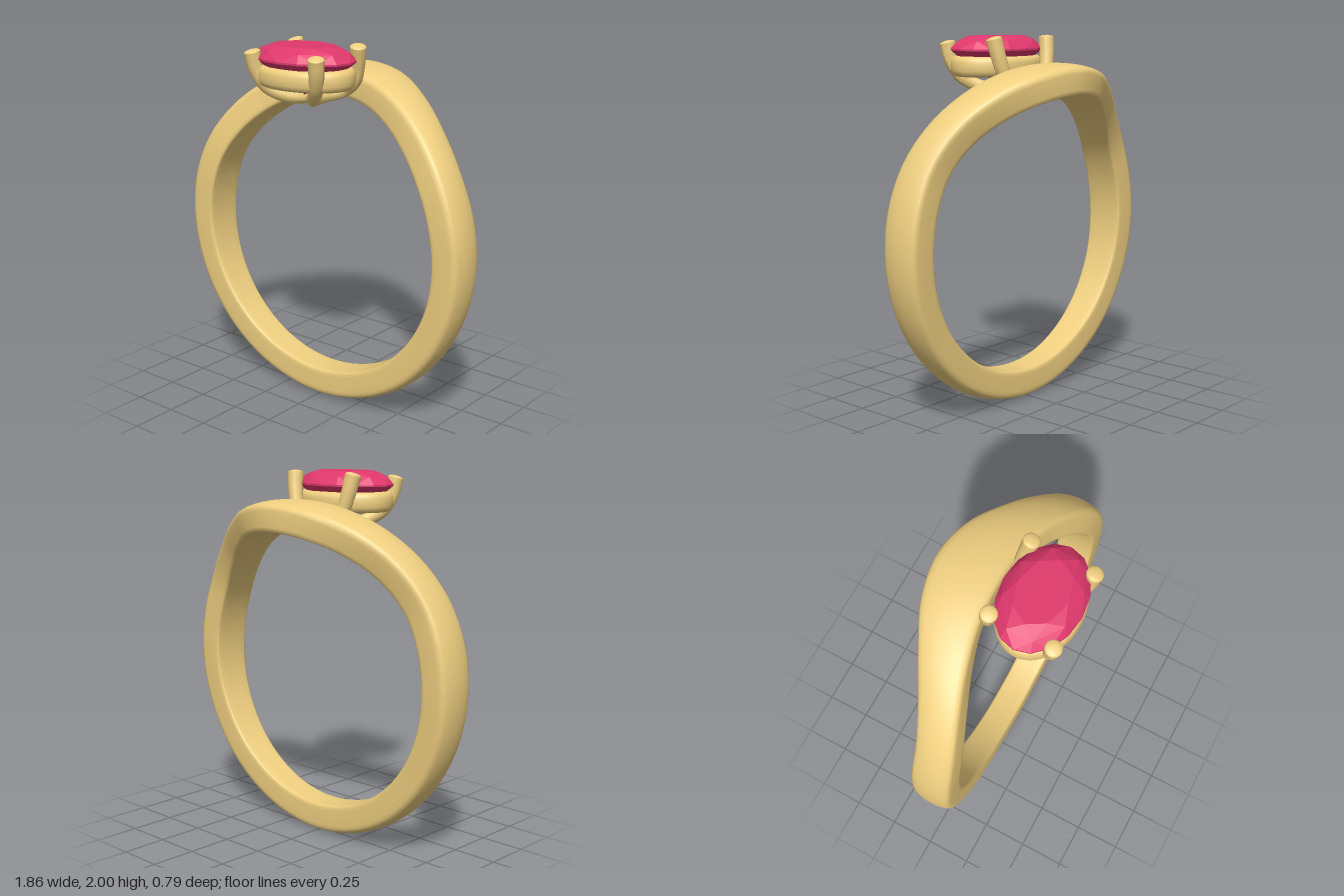
import * as THREE from 'three';
import { ConvexGeometry } from 'three/addons/geometries/ConvexGeometry.js';

const gold = new THREE.MeshStandardMaterial({ color: 0xefcf80 });
const ruby = new THREE.MeshStandardMaterial({ color: 0xe0386c });

// Closed smooth surface: point(i / nu, j) swept around both ways
function loft(nu, nv, point) {
  const pos = [], index = [];
  for (let i = 0; i < nu; i++)
    for (let j = 0; j < nv; j++) {
      pos.push(...point(i / nu, j));
      const i2 = (i + 1) % nu, j2 = (j + 1) % nv;
      const a = i * nv + j, b = i2 * nv + j, c = i * nv + j2, d = i2 * nv + j2;
      index.push(a, b, c, b, d, c);
    }
  const g = new THREE.BufferGeometry();
  g.setAttribute('position', new THREE.Float32BufferAttribute(pos, 3));
  g.setIndex(index);
  g.computeVertexNormals();
  return g;
}

function add(parent, name, geometry, material) {
  const mesh = new THREE.Mesh(geometry, material);
  mesh.name = name;
  parent.add(mesh);
  return mesh;
}

// Band: back and front edge (z) every 15 degrees from the top to the bottom
const edges = [
  [-0.4, -0.055], [-0.36, -0.04], [-0.26, 0.008], [-0.165, 0.065], [-0.11, 0.108],
  [-0.1, 0.125], [-0.097, 0.125], [-0.09, 0.12], [-0.083, 0.115], [-0.078, 0.11],
  [-0.073, 0.105], [-0.07, 0.1], [-0.07, 0.1],
];

function bandGeometry() {
  const loop = [...edges, ...edges.slice(1, -1).reverse()];
  const curve = new THREE.CatmullRomCurve3(
    loop.map(([b, f]) => new THREE.Vector3(b, f, 0)), true, 'catmullrom');
  // half section: distance in from the side edge (share of half width), radius
  const half = [
    [1, 0.766], [0.85, 0.766], [0.93, 0.77], [0.98, 0.778], [1, 0.795],
    [1, 0.84], [1, 0.88], [0.975, 0.897], [0.9, 0.91], [0.75, 0.918], [0.5, 0.925], [0.25, 0.929],
  ].slice(1);
  half.unshift([0.45, 0.765]);
  const section = [
    ...half, [0, 0.93],
    ...half.slice().reverse().map(([s, r]) => [-s, r]),
  ];
  return loft(144, section.length, (t, j) => {
    const p = curve.getPoint(t), a = t * Math.PI * 2;
    const [s, r] = section[(section.length - 1 - j + section.length) % section.length];
    const z = (p.x + p.y) / 2 - s * (p.y - p.x) / 2;
    return [r * Math.sin(a), 0.935 + r * Math.cos(a), z];
  });
}

// Collar: oval ring with a rounded, squarish section
function collarGeometry() {
  const nv = 20;
  const soft = v => Math.sign(v) * Math.pow(Math.abs(v), 0.75);
  return loft(72, nv, (t, j) => {
    const a = t * Math.PI * 2, b = j / nv * Math.PI * 2;
    const out = 0.045 * soft(Math.cos(b));
    return [
      (0.245 + out) * Math.cos(a),
      -0.055 * soft(Math.sin(b)),
      (0.165 + out) * Math.sin(a),
    ];
  });
}

// Oval brilliant: rings of points [count, half turn offset, scale, y]
function stoneGeometry() {
  const rings = [
    [8, 0, 0.62, 0.07], [8, 0.5, 0.86, 0.045], [16, 0, 1, 0.004],
    [16, 0, 1, -0.006], [8, 0.5, 0.72, -0.065], [1, 0, 0, -0.19],
  ];
  const pts = [];
  for (const [n, shift, s, y] of rings)
    for (let i = 0; i < n; i++) {
      const a = (i + shift) / n * Math.PI * 2;
      pts.push(new THREE.Vector3(0.295 * s * Math.cos(a), y, 0.21 * s * Math.sin(a)));
    }
  return new ConvexGeometry(pts);
}

// Claw wire: from the front tip, under the stone, up to the back tip
function clawWire(side) {
  const wire = new THREE.Group();
  const pts = [
    [0.212, 1.96, 0.347], [0.2, 1.87, 0.33], [0.165, 1.785, 0.295], [0.1, 1.735, 0.235],
    [0.05, 1.718, 0.16], [0.045, 1.722, 0.05], [0.1, 1.745, -0.02],
    [0.165, 1.8, -0.022], [0.195, 1.89, -0.01], [0.212, 1.985, 0.008],
  ].map(([x, y, z]) => new THREE.Vector3(side * x, y, z));
  const curve = new THREE.CatmullRomCurve3(pts);
  const nu = 64, nv = 14;
  const tube = new THREE.TubeGeometry(curve, nu, 1, nv);
  // thicker claws, thinner wire below
  const pos = tube.attributes.position, v = new THREE.Vector3();
  for (let i = 0; i < pos.count; i++) {
    const t = Math.floor(i / (nv + 1)) / nu;
    const c = curve.getPointAt(t);
    const r = 0.034 + 0.01 * Math.pow(Math.abs(2 * t - 1), 2);
    v.fromBufferAttribute(pos, i).sub(c).multiplyScalar(r).add(c);
    pos.setXYZ(i, v.x, v.y, v.z);
  }
  tube.computeVertexNormals();
  add(wire, 'clawWire', tube, gold);
  // low rounded tips
  for (const t of [0, 1]) {
    const tip = add(wire, 'clawTip', new THREE.SphereGeometry(0.044, 14, 6, 0, Math.PI * 2, 0, Math.PI / 2), gold);
    tip.scale.y = 0.35;
    tip.position.copy(curve.getPointAt(t));
    const dir = curve.getTangentAt(t).multiplyScalar(t ? 1 : -1);
    tip.quaternion.setFromUnitVectors(new THREE.Vector3(0, 1, 0), dir);
  }
  return wire;
}

export function createModel() {
  const ring = new THREE.Group();
  ring.name = 'ring';
  add(ring, 'band', bandGeometry(), gold);

  const setting = new THREE.Group();
  setting.name = 'setting';
  add(setting, 'collar', collarGeometry(), gold).position.set(0, 1.84, 0.18);
  add(setting, 'stone', stoneGeometry(), ruby).position.set(0, 1.93, 0.18);
  for (const side of [1, -1]) {
    const wire = clawWire(side);
    wire.name = side > 0 ? 'leftClaws' : 'rightClaws';
    setting.add(wire);
  }
  ring.add(setting);
  return ring;
}
